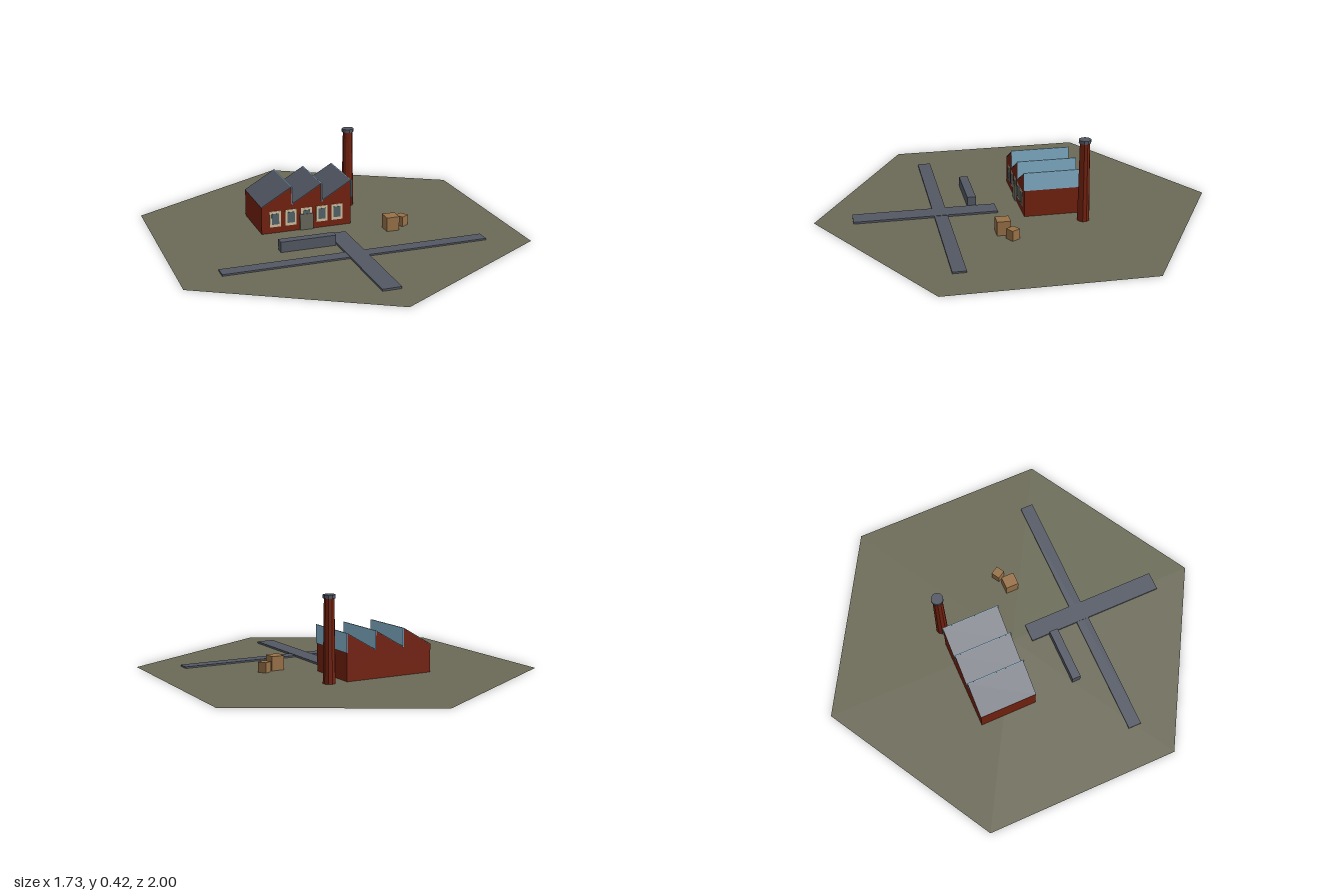
import * as THREE from 'three';

const mat = (name, color, extra = {}) => {
  const m = new THREE.MeshStandardMaterial({ color, ...extra });
  m.name = name;
  return m;
};

export function createModel() {
  const ground = mat('ground', 0x6b6a57, { side: THREE.DoubleSide });
  const slate = mat('slate', 0x535864, { flatShading: true });
  const brick = mat('brick', 0x74220f, { flatShading: true });
  const glass = mat('glass', 0x84b2cb);
  const frame = mat('windowFrame', 0xd2c2a0);
  const pane = mat('windowPane', 0x53646b);
  const doorGrey = mat('door', 0x69695c);
  const wood = mat('wood', 0x987148);

  const model = new THREE.Group();
  model.name = 'factorySite';
  const add = (name, geometry, material, x, y, z, parent = model) => {
    const mesh = new THREE.Mesh(geometry, material);
    mesh.name = name;
    mesh.position.set(x, y, z);
    parent.add(mesh);
    return mesh;
  };
  // box given by its extents
  const box = (name, material, x0, x1, y0, y1, z0, z1, parent) =>
    add(name, new THREE.BoxGeometry(x1 - x0, y1 - y0, z1 - z0), material,
      (x0 + x1) / 2, (y0 + y1) / 2, (z0 + z1) / 2, parent);

  // flat hexagonal plot with points at front and back
  const plot = add('plot', new THREE.CircleGeometry(1, 6, Math.PI / 2), ground, 0, 0, 0);
  plot.rotation.x = -Math.PI / 2;

  // crossing roads and low wall
  box('mainRoad', slate, -0.667, 0.665, 0, 0.008, 0.345, 0.412);
  box('accessRoad', slate, -0.047, 0.047, 0, 0.01, 0.093, 0.81);
  box('lowWall', slate, -0.332, -0.052, 0, 0.053, 0.187, 0.231);

  // factory hall with sawtooth profile
  const hall = new THREE.Group();
  hall.name = 'factoryHall';
  model.add(hall);
  const left = -0.351, right = 0.12, back = -0.323, front = -0.028;
  const eave = 0.139, peak = 0.231, bay = (right - left) / 3;
  const profile = new THREE.Shape();
  profile.moveTo(left, 0);
  profile.lineTo(right, 0);
  for (let i = 2; i >= 0; i--) {
    profile.lineTo(left + (i + 1) * bay, peak);
    profile.lineTo(left + i * bay, eave);
  }
  add('walls', new THREE.ExtrudeGeometry(profile, { depth: front - back, bevelEnabled: false }),
    brick, 0, 0, back, hall);

  // slate slope and glazed upright of each bay
  const slope = Math.hypot(bay, peak - eave), angle = Math.atan2(peak - eave, bay);
  const mid = (front + back) / 2, depth = front - back;
  for (let i = 0; i < 3; i++) {
    const x = left + i * bay;
    const panel = add('roofPanel', new THREE.BoxGeometry(slope, 0.003, depth + 0.002), slate,
      x + bay / 2, (eave + peak) / 2 + 0.001, mid, hall);
    panel.rotation.z = angle;
    box('skylight', glass, x + bay - 0.001, x + bay + 0.004, eave, peak + 0.002,
      back - 0.003, front + 0.006, hall);
  }

  // row of framed windows, with the door over the middle one
  for (let i = 0; i < 5; i++) {
    const x = -0.28 + i * 0.0815;
    box('windowFrame', frame, x - 0.029, x + 0.029, 0.032, 0.115, front, front + 0.003, hall);
    box('windowPane', pane, x - 0.019, x + 0.019, 0.046, 0.102, front, front + 0.005, hall);
  }
  box('door', doorGrey, -0.152, -0.082, 0, 0.083, front, front + 0.008, hall);

  // tapered chimney with cap
  add('chimney', new THREE.CylinderGeometry(0.025, 0.031, 0.41, 10), brick, 0.207, 0.205, -0.306);
  add('chimneyCap', new THREE.CylinderGeometry(0.031, 0.031, 0.017, 10), slate, 0.207, 0.412, -0.306);

  // wooden crates
  box('largeCrate', wood, 0.25, 0.316, 0, 0.072, 0.078, 0.145);
  const small = box('smallCrate', wood, 0.335, 0.381, 0, 0.052, 0.053, 0.099);
  small.rotation.y = 0.55;

  return model;
}
